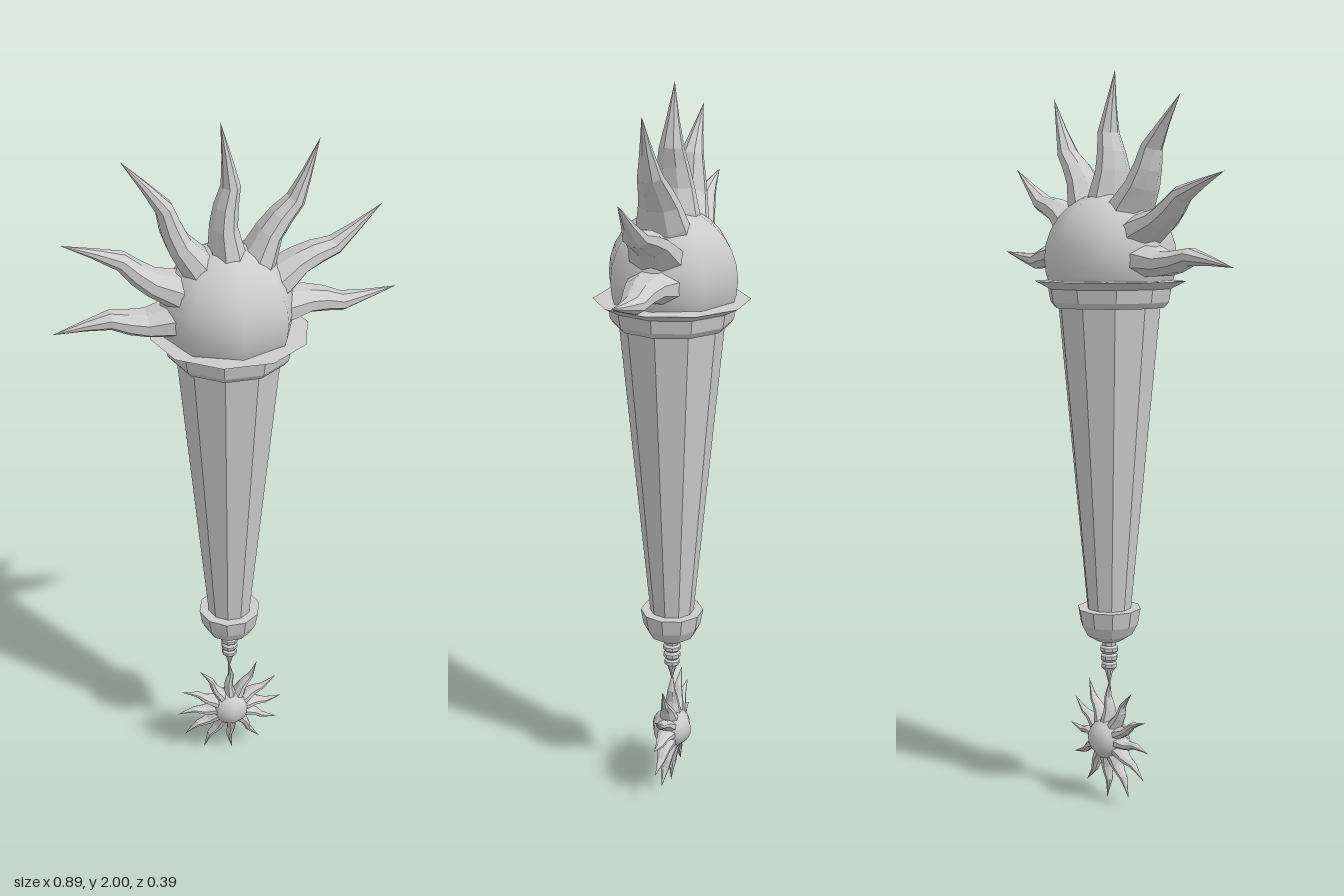
import * as THREE from 'three';

const SIDES = 10;
const flat = new THREE.MeshStandardMaterial({ color: 0xcccccc, flatShading: true, side: THREE.DoubleSide });
const smooth = new THREE.MeshStandardMaterial({ color: 0xcccccc });

// Ten-sided turned part; profile is [radius, y] from bottom to top
function turned(name, profile, sides = SIDES) {
  const pts = profile.map(([r, y]) => new THREE.Vector2(r, y));
  const mesh = new THREE.Mesh(new THREE.LatheGeometry(pts, sides, Math.PI / sides), flat);
  mesh.name = name;
  return mesh;
}

// Wavy sun ray pointing up +y: [distance, sideways shift, half width, half depth]
function rayGeometry() {
  const sections = [
    [0.10, 0, 0.048, 0.082], [0.17, 0, 0.041, 0.066], [0.23, -0.006, 0.031, 0.052],
    [0.28, 0.001, 0.028, 0.041], [0.33, 0.014, 0.022, 0.031], [0.40, 0.006, 0.012, 0.016],
    [0.49, -0.008, 0, 0],
  ];
  const n = 8, pos = [], idx = [];
  for (const [y, shift, w, d] of sections) {
    for (let j = 0; j < n; j++) {
      const a = ((j + 0.5) / n) * Math.PI * 2;
      pos.push(shift + w * Math.cos(a) * 1.08, y, d * Math.sin(a) * 1.08);
    }
  }
  for (let i = 0; i < sections.length - 1; i++) {
    for (let j = 0; j < n; j++) {
      const a = i * n + j, b = i * n + (j + 1) % n;
      idx.push(a, a + n, b);
      if (i < sections.length - 2) idx.push(b, a + n, b + n);
    }
  }
  const g = new THREE.BufferGeometry();
  g.setAttribute('position', new THREE.Float32BufferAttribute(pos, 3));
  g.setIndex(idx);
  g.computeVertexNormals();
  return g;
}

// Ball with rays every 30 degrees, starting from +x
function sun(name, ballRadius, rayCount, rayScale, ray) {
  const group = new THREE.Group();
  group.name = name;
  const ball = new THREE.Mesh(new THREE.SphereGeometry(ballRadius, 8, 14), smooth);
  ball.name = name + 'Ball';
  group.add(ball);
  for (let k = 0; k < rayCount; k++) {
    const mesh = new THREE.Mesh(ray, flat);
    const angle = (k * Math.PI) / 6;
    const sideways = Math.abs(Math.cos(angle));
    mesh.name = name + 'Ray';
    mesh.rotation.z = angle - Math.PI / 2 + 0.02;
    // sideways rays are a little shorter
    mesh.scale.set(rayScale, rayScale * (1 - 0.09 * sideways ** 4), rayScale);
    group.add(mesh);
  }
  return group;
}

export function createModel() {
  const model = new THREE.Group();
  model.name = 'sunSceptre';
  const ray = rayGeometry();

  // Large half sun on top
  const head = sun('headSun', 0.177, 7, 1, ray);
  head.position.set(0, 1.508, 0);
  model.add(head);

  // Shaft, collar and lower parts
  const body = new THREE.Group();
  body.name = 'body';
  body.position.x = 0.005;
  body.add(
    turned('collar', [[0.13, 1.38], [0.15, 1.38], [0.162, 1.395], [0.168, 1.43], [0.207, 1.45], [0.14, 1.452]]),
    turned('shaft', [[0, 0.54], [0.06, 0.54], [0.14, 1.39], [0, 1.39]]),
    turned('endCup', [[0, 0.46], [0.035, 0.462], [0.064, 0.48], [0.08, 0.51], [0.088, 0.555], [0.055, 0.555]]),
    turned('finial', [
      [0, 0.33], [0.012, 0.375], [0.022, 0.385], [0.022, 0.395], [0.016, 0.4], [0.024, 0.408], [0.024, 0.418],
      [0.017, 0.424], [0.026, 0.432], [0.026, 0.442], [0.019, 0.447], [0.022, 0.47],
    ], 8),
  );
  model.add(body);

  // Small full sun hanging at the bottom
  const pendant = sun('pendantSun', 0.058, 12, 0.36, ray);
  pendant.position.set(0.007, 0.179, 0);
  model.add(pendant);

  return model;
}
